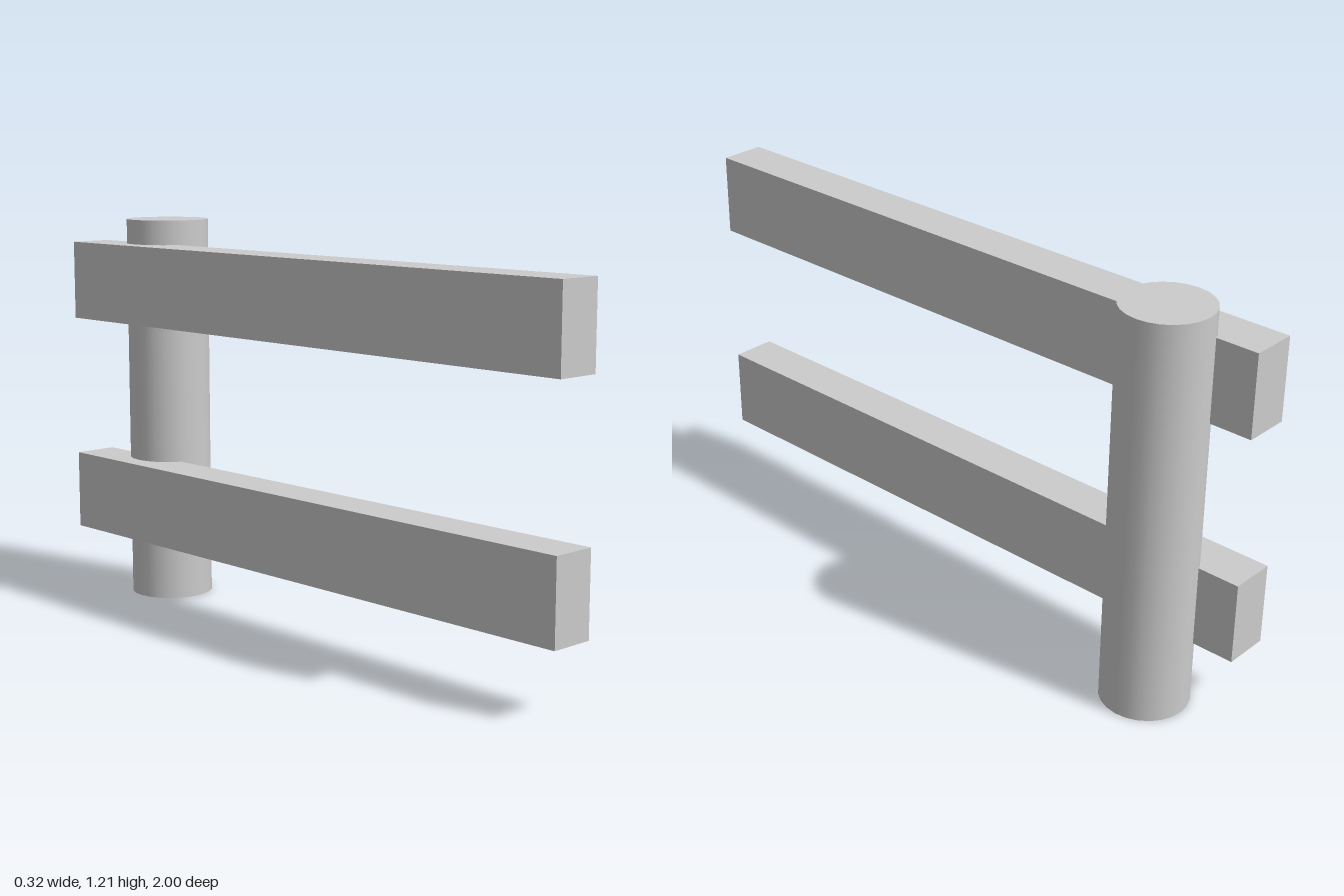
import * as THREE from 'three';

export function createModel() {
  const model = new THREE.Group();
  const grey = new THREE.MeshStandardMaterial({ color: 0xcccccc, side: THREE.DoubleSide });

  const add = (name, geometry, x, y, z, parent = model) => {
    const mesh = new THREE.Mesh(geometry, grey);
    mesh.name = name;
    mesh.position.set(x, y, z);
    parent.add(mesh);
    return mesh;
  };

  // Round post, closed on top and open underneath
  const radius = 0.129, height = 1.205, sides = 24;
  const post = new THREE.Group();
  post.name = 'post';
  post.position.set(0.029, 0, -0.755);
  model.add(post);
  add('postSide', new THREE.CylinderGeometry(radius, radius, height, sides, 1, true), 0, height / 2, 0, post);
  const cap = new THREE.CircleGeometry(radius, sides).rotateX(-Math.PI / 2);
  add('postTop', cap, 0, height, 0, post);

  // Two square-cut rails let into the side of the post
  const rail = new THREE.BoxGeometry(0.136, 0.244, 2);
  add('lowerRail', rail, -0.09, 0.322, 0);
  add('upperRail', rail, -0.09, 1.007, 0);

  return model;
}
